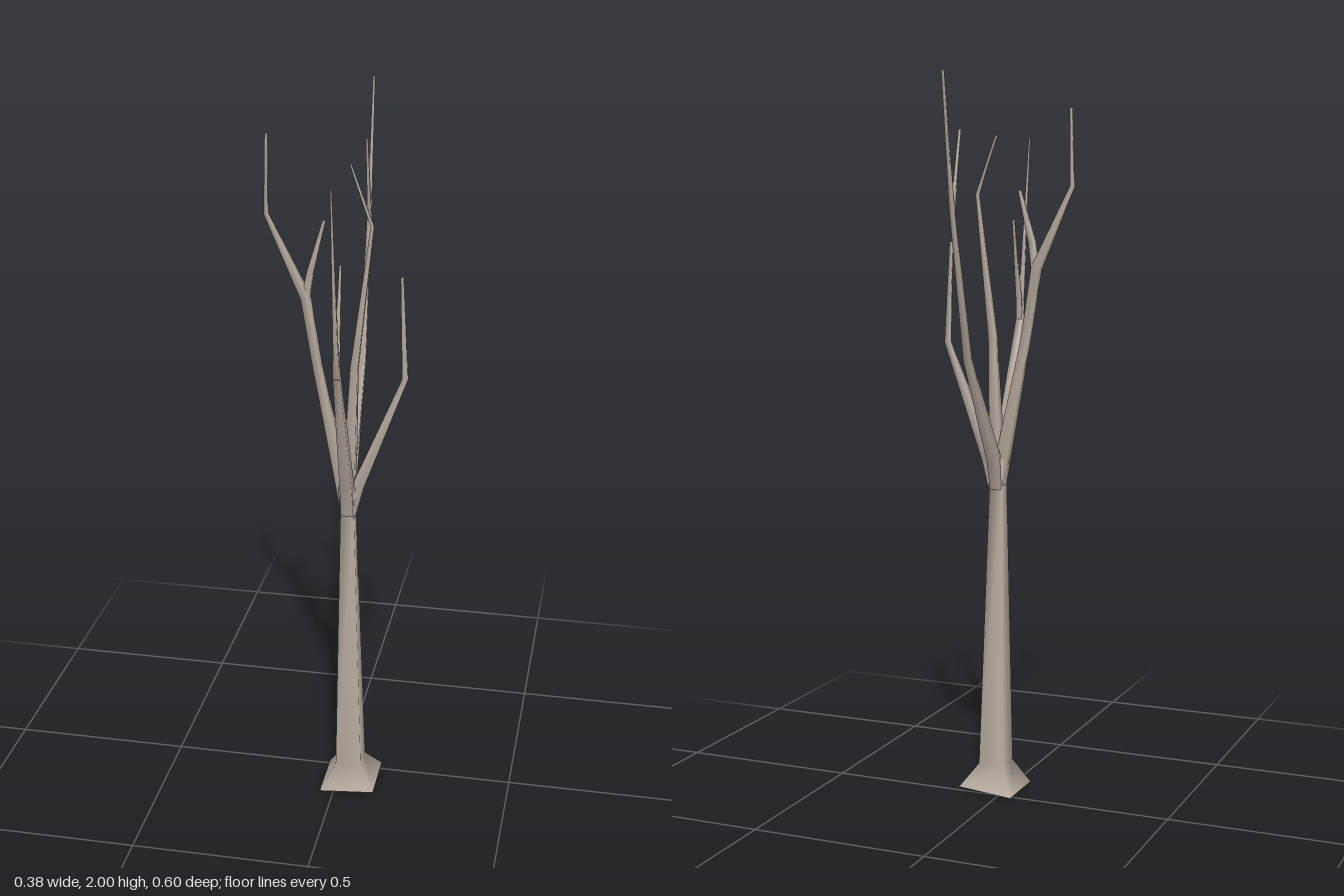
import * as THREE from 'three';

const bark = new THREE.MeshStandardMaterial({ color: 0xb8aca0, side: THREE.DoubleSide });
bark.name = 'bark';
const heartwood = new THREE.MeshStandardMaterial({ color: 0x8a5a38, side: THREE.DoubleSide });
heartwood.name = 'heartwood';

// Four-sided tapering limb through stations [x, y, z, width], capped at its tip.
function limbGeometry(stations) {
  const points = stations.map(([x, y, z]) => new THREE.Vector3(x, y, z));
  const positions = [];
  const index = [];
  const corners = [[1, 1], [-1, 1], [-1, -1], [1, -1]];
  points.forEach((p, i) => {
    const before = points[Math.max(i - 1, 0)];
    const after = points[Math.min(i + 1, points.length - 1)];
    const t = after.clone().sub(before).normalize();
    const u = new THREE.Vector3(1, 0, 0).addScaledVector(t, -t.x).normalize();
    const v = t.clone().cross(u);
    const half = stations[i][3] / 2;
    for (const [a, b] of corners) {
      const q = p.clone().addScaledVector(u, a * half).addScaledVector(v, b * half);
      positions.push(q.x, q.y, q.z);
    }
    if (i === 0) return;
    for (let k = 0; k < 4; k++) {
      const low = (i - 1) * 4;
      const a = low + k, b = low + (k + 1) % 4;
      index.push(a, b, b + 4, a, b + 4, a + 4);
    }
  });
  const tip = (points.length - 1) * 4;
  index.push(tip, tip + 1, tip + 2, tip, tip + 2, tip + 3);
  const geometry = new THREE.BufferGeometry();
  geometry.setAttribute('position', new THREE.Float32BufferAttribute(positions, 3));
  geometry.setIndex(index);
  geometry.computeVertexNormals();
  return geometry;
}

export function createModel() {
  const tree = new THREE.Group();
  tree.name = 'bareTree';

  function addLimb(name, stations) {
    const mesh = new THREE.Mesh(limbGeometry(stations), bark);
    mesh.name = name;
    tree.add(mesh);
    return mesh;
  }

  // Trunk with a square flared foot, open underneath
  const trunk = addLimb('trunk', [
    [0.039, 0.007, 0.067, 0.158],
    [0.038, 0.075, 0.071, 0.074],
    [0.03, 0.87, 0.069, 0.038],
    [0.029, 0.96, 0.068, 0.046],
  ]);
  // The foot's lower edge rises slightly towards the tree's left
  const foot = trunk.geometry.attributes.position;
  for (let i = 0; i < 4; i++) foot.setY(i, 0.007 + (foot.getX(i) - 0.039) * 0.088);
  trunk.geometry.computeVertexNormals();

  // Bare wood inside the foot
  const core = new THREE.Mesh(new THREE.BoxGeometry(0.066, 0.006, 0.066), heartwood);
  core.name = 'trunkCore';
  core.position.set(0.038, 0.076, 0.071);
  tree.add(core);

  // Limbs spreading to either side
  addLimb('rightLimb', [
    [0.028, 0.88, 0.068, 0.034], [0.006, 1.0, 0.067, 0.032], [-0.055, 1.3, 0.066, 0.022],
    [-0.085, 1.49, 0.066, 0.024], [-0.188, 1.71, 0.066, 0.011], [-0.184, 1.92, 0.066, 0.007],
  ]);
  addLimb('rightFork', [
    [-0.085, 1.48, 0.066, 0.022], [-0.072, 1.56, 0.066, 0.017], [-0.035, 1.7, 0.066, 0.008],
  ]);
  addLimb('leftLimb', [
    [0.034, 0.87, 0.068, 0.034], [0.058, 0.96, 0.067, 0.032],
    [0.182, 1.28, 0.066, 0.015], [0.17, 1.56, 0.066, 0.008],
  ]);

  // Middle limb
  addLimb('middleLimb', [
    [0.03, 0.88, 0.068, 0.032], [0.036, 1.05, 0.067, 0.03], [0.045, 1.3, 0.067, 0.02],
    [0.091, 1.69, 0.067, 0.009], [0.034, 1.85, 0.067, 0.005],
  ]);

  // Limbs spreading to front and back
  addLimb('frontLimb', [
    [0.03, 0.87, 0.07, 0.034], [0.03, 0.97, 0.095, 0.033], [0.029, 1.34, 0.229, 0.018],
    [0.029, 1.42, 0.243, 0.012], [0.029, 1.85, 0.3, 0.004],
  ]);
  addLimb('frontFork', [
    [0.029, 1.33, 0.228, 0.017], [0.029, 1.4, 0.219, 0.013], [0.029, 1.62, 0.178, 0.006],
  ]);
  addLimb('backLimb', [
    [0.03, 0.87, 0.068, 0.034], [0.03, 0.96, 0.036, 0.031], [0.03, 1.25, -0.142, 0.018],
    [0.03, 1.65, -0.241, 0.011], [0.03, 2.0, -0.295, 0.006],
  ]);
  addLimb('backFork', [[0.03, 1.63, -0.238, 0.01], [0.03, 1.855, -0.19, 0.006]]);

  return tree;
}
